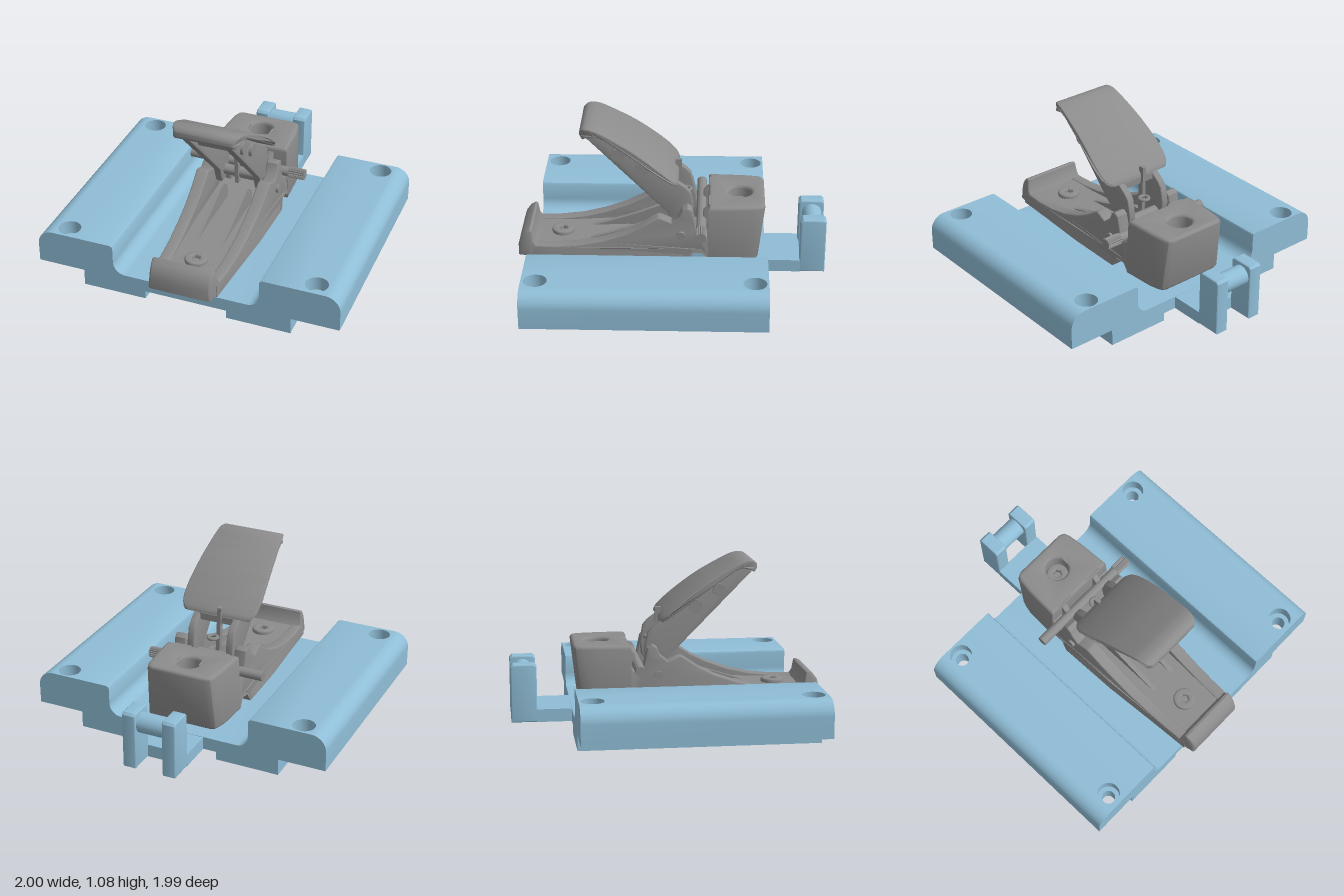
import * as THREE from 'three';
import { toCreasedNormals } from 'three/addons/utils/BufferGeometryUtils.js';

export function createModel() {
  const model = new THREE.Group();
  const blue = new THREE.MeshStandardMaterial({ color: 0x8fbdd6 });
  blue.name = 'light blue plastic';
  const grey = new THREE.MeshStandardMaterial({ color: 0x8c8c8c });
  grey.name = 'grey metal';

  const add = (name, geo, mat) => {
    const mesh = new THREE.Mesh(geo, mat);
    mesh.name = name;
    model.add(mesh);
    return mesh;
  };
  const poly = (pts) => new THREE.Shape(pts.map(([a, b]) => new THREE.Vector2(a, b)));
  const circle = (x, y, r, n = 32) => new THREE.Path(Array.from({ length: n }, (_, i) => {
    const a = (i / n) * Math.PI * 2;
    return new THREE.Vector2(x + r * Math.cos(a), y + r * Math.sin(a));
  }));
  const extrude = (shape, depth, b = 0) => {
    const geo = new THREE.ExtrudeGeometry(shape, {
      depth: depth - 2 * b, curveSegments: 12, bevelEnabled: b > 0,
      bevelSize: b, bevelThickness: b, bevelOffset: -b, bevelSegments: 3,
    });
    return geo.translate(0, 0, b);
  };
  // shape in (x, y), running along z
  const alongZ = (shape, z0, z1, b) => toCreasedNormals(extrude(shape, z1 - z0, b).translate(0, 0, z0), 0.6);
  // shape in (x, -z), running up y
  const alongY = (shape, y0, y1, b) =>
    toCreasedNormals(extrude(shape, y1 - y0, b).rotateX(-Math.PI / 2).translate(0, y0, 0), 0.6);
  // profile in (z, y), running along x; width(z, y) scales x
  const alongX = (pts, x0, x1, b, width) => {
    const geo = extrude(poly(pts), x1 - x0, b).rotateY(-Math.PI / 2).translate(x1, 0, 0);
    const p = geo.attributes.position;
    if (width) for (let i = 0; i < p.count; i++) p.setX(i, p.getX(i) * width(p.getZ(i), p.getY(i)));
    geo.computeVertexNormals();
    return toCreasedNormals(geo, 0.6);
  };
  // linear interpolation through [position, value] pairs
  const ramp = (table, t) => {
    if (t <= table[0][0]) return table[0][1];
    for (let i = 1; i < table.length; i++) {
      const [a, u] = table[i - 1], [b, v] = table[i];
      if (t <= b) return u + ((v - u) * (t - a)) / (b - a);
    }
    return table[table.length - 1][1];
  };
  const rodX = (r, x0, x1, y, z, n = 28) =>
    toCreasedNormals(new THREE.CylinderGeometry(r, r, x1 - x0, n).rotateZ(Math.PI / 2).translate((x0 + x1) / 2, y, z), 0.5);
  const box = (x0, x1, y0, y1, z0, z1) =>
    new THREE.BoxGeometry(x1 - x0, y1 - y0, z1 - z0).translate((x0 + x1) / 2, (y0 + y1) / 2, (z0 + z1) / 2);

  // Base: trough and feet
  const Z0 = -0.61, Z1 = 0.905;
  const half = [[0.27, 0.055], [0.27, 0], [0.69, 0], [0.69, 0.11], [0.745, 0.11], [0.745, 0.342],
    [0.505, 0.342], [0.491, 0.336], [0.485, 0.322]];
  for (let i = 0; i <= 10; i++) {
    const a = (i / 10) * Math.PI / 2;
    half.push([0.405 + 0.08 * Math.cos(a), 0.22 - 0.08 * Math.sin(a)]);
  }
  const mirrored = half.map(([x, y]) => [-x, y]).reverse();
  add('baseTrough', alongZ(poly([...half, ...mirrored]), Z0, Z1), blue);

  for (const s of [1, -1]) {
    // Rounded outer edge
    const edge = [[0.895, 0.342], [0.895, 0.11], [1, 0.11]];
    for (let i = 0; i <= 10; i++) {
      const a = (i / 10) * Math.PI / 2;
      edge.push([0.9 + 0.1 * Math.cos(a), 0.242 + 0.1 * Math.sin(a)]);
    }
    add('baseOuterEdge', alongZ(poly(edge.map(([x, y]) => [s * x, y])), Z0, Z1), blue);

    // Strip with counterbored mounting holes
    for (const [y0, y1, r] of [[0.11, 0.25, 0.042], [0.25, 0.342, 0.072]]) {
      const strip = poly([[0.745, -Z0], [0.745, -Z1], [0.895, -Z1], [0.895, -Z0]].map(([x, y]) => [s * x, y]));
      for (const z of [-0.525, 0.815]) strip.holes.push(circle(s * 0.82, -z, r));
      add('mountingStrip', alongY(strip, y0, y1), blue);
    }

    // Rear posts and support rails under the latch
    const post = [[-0.83, 0.055], [-0.83, 0.415], [-0.845, 0.43], [-0.98, 0.43], [-0.995, 0.415], [-0.995, 0.055]];
    add('rearPost', alongX(post, s > 0 ? 0.09 : -0.18, s > 0 ? 0.18 : -0.09, 0.008), blue);
    add('supportRail', box(s * 0.14 - 0.035, s * 0.14 + 0.035, 0.13, 0.18, -0.5, 0.8), blue);
  }
  add('rearArm', box(-0.18, 0.18, 0.055, 0.138, -0.835, -0.6), blue);
  add('rearPin', rodX(0.065, -0.1, 0.1, 0.345, -0.915), blue);

  // Latch body, tapering toward the front and the top
  const bodyWidth = (z, y) => (ramp([[-0.6, 0.225], [-0.25, 0.25], [0, 0.258], [0.3, 0.245], [0.65, 0.22], [0.92, 0.205], [0.97, 0.195], [1, 0.18]], z)
    + 0.02 * Math.max(0, (0.345 - y) / 0.17)) / 0.25;
  add('bodyFloor', alongX([[0.93, 0.165], [0.92, 0.24], [0.65, 0.238], [0.3, 0.255], [-0.25, 0.255],
    [-0.25, 0.18], [-0.2, 0.23], [-0.14, 0.23], [-0.1, 0.165], [0.3, 0.165], [0.65, 0.165]], -0.25, 0.25, 0, bodyWidth), grey);
  add('frontLip', alongX([[0.995, 0.165], [0.995, 0.24], [0.98, 0.29], [0.95, 0.33], [0.92, 0.345], [0.905, 0.34],
    [0.895, 0.27], [0.87, 0.235], [0.87, 0.165]], -0.25, 0.25, 0.012, bodyWidth), grey);
  const cheek = [[0.9, 0.165], [0.9, 0.245], [0.75, 0.245], [0.6, 0.26], [0.45, 0.295], [0.31, 0.345], [0.2, 0.4],
    [0.09, 0.475], [0.07, 0.475], [0, 0.445], [-0.05, 0.485], [-0.07, 0.535], [-0.1, 0.55], [-0.13, 0.53], [-0.145, 0.46],
    [-0.16, 0.39], [-0.19, 0.373], [-0.22, 0.39], [-0.25, 0.43], [-0.25, 0.18], [-0.2, 0.25], [-0.14, 0.25], [-0.1, 0.165]];
  const rib = [[0.58, 0.23], [0.42, 0.275], [0.25, 0.33], [0.1, 0.39], [0.06, 0.39], [0, 0.34], [0, 0.23]];
  for (const s of [1, -1]) {
    add('bodyCheek', alongX(cheek, s > 0 ? 0.17 : -0.25, s > 0 ? 0.25 : -0.17, 0.008, bodyWidth), grey);
    add('innerRib', alongX(rib, s * 0.085 - 0.015, s * 0.085 + 0.015, 0), grey);
    add('sidePivot', rodX(0.027, s * 0.25 - 0.02, s * 0.25 + 0.02, 0.355, -0.06), grey);
    // Lug inside each slot of the rear block
    add('slotLug', alongX([[-0.2, 0.2], [-0.2, 0.48], [-0.24, 0.52], [-0.4, 0.53], [-0.44, 0.5], [-0.45, 0.2]],
      s * 0.143 - 0.02, s * 0.143 + 0.02, 0.006), grey);
  }

  // Rear block with two slots and a bolt hole
  const block = poly([[-0.25, 0.235], [0.25, 0.235], [0.24, 0.45], [0.228, 0.55], [0.215, 0.585], [0.18, 0.6],
    [-0.18, 0.6], [-0.215, 0.585], [-0.228, 0.55], [-0.24, 0.45]]);
  block.holes.push(circle(0, 0.44, 0.075));
  for (const s of [1, -1]) {
    const slot = [[0.095, 0.26], [0.17, 0.26], [0.17, 0.44], [0.155, 0.46], [0.11, 0.46], [0.095, 0.44]];
    block.holes.push(new THREE.Path(slot.map(([x, y]) => new THREE.Vector2(s * x, y))));
  }
  const blockGeo = extrude(block, 0.385, 0.022).rotateX(-Math.PI / 2).translate(0, 0.165, 0);
  const bp = blockGeo.attributes.position;
  for (let i = 0; i < bp.count; i++) {
    const drop = (0.55 - bp.getY(i)) / 0.385;
    bp.setX(i, bp.getX(i) * (1 + 0.08 * drop));
    if (bp.getZ(i) < -0.53) bp.setZ(i, bp.getZ(i) + 0.045 * drop);
  }
  blockGeo.computeVertexNormals();
  add('rearBlock', toCreasedNormals(blockGeo, 0.6), grey);

  // Socket-head bolts
  for (const [z, y] of [[-0.44, 0.46], [0.72, 0.265]]) {
    const head = new THREE.Shape(circle(0, -z, 0.072).getPoints());
    head.holes.push(circle(0, -z, 0.028, 6));
    add('boltHead', alongY(head, y - 0.05, y, 0.01), grey);
    add('boltShaft', new THREE.CylinderGeometry(0.062, 0.062, y - 0.17, 24).translate(0, (y + 0.09) / 2, z), grey);
  }
  for (const z of [-0.44, 0.19, 0.72]) {
    const nut = new THREE.Shape(circle(0, -z, 0.042).getPoints());
    nut.holes.push(circle(0, -z, 0.02, 6));
    add('undersideNut', alongY(nut, 0.049, 0.07), grey);
  }

  // Cross pin with a ridged end
  add('crossPin', rodX(0.032, -0.4, 0.3, 0.415, -0.19), grey);
  const knob = new THREE.Shape(Array.from({ length: 32 }, (_, i) => {
    const a = (i / 32) * Math.PI * 2, r = i % 2 ? 0.031 : 0.037;
    return new THREE.Vector2(r * Math.cos(a), r * Math.sin(a));
  }));
  add('ridgedPinEnd', toCreasedNormals(extrude(knob, 0.11).rotateY(Math.PI / 2).translate(0.29, 0.415, -0.19), 0.4), grey);

  // Lever arms, joining block and pins
  const arm = [[0.55, 1.0], [0.3, 0.745], [0.02, 0.46], [0, 0.4], [-0.02, 0.35], [-0.08, 0.35], [-0.13, 0.42], [-0.14, 0.5],
    [-0.12, 0.61], [-0.09, 0.645], [-0.03, 0.69], [0.2, 0.85], [0.42, 1.01], [0.5, 1.03]];
  for (const s of [1, -1]) {
    add('leverArm', alongX(arm, s * 0.137 - 0.024, s * 0.137 + 0.024, 0.006), grey);
    for (const [z, y] of [[0.34, 0.88], [0.19, 0.78]])
      add('leverPinHead', rodX(0.043, s * 0.155 - 0.025, s * 0.155 + 0.025, y, z), grey);
  }
  add('leverCore', alongX([[0.4, 0.97], [0.33, 0.86], [0.2, 0.76], [0.06, 0.65], [-0.04, 0.645], [-0.04, 0.69], [0.2, 0.86]], -0.12, 0.12, 0), grey);
  add('leverRoller', rodX(0.055, -0.12, 0.12, 0.9, 0.34), grey);
  add('lowerPivot', rodX(0.035, -0.2, 0.2, 0.42, -0.07), grey);
  const strip = add('releaseStrip', new THREE.BoxGeometry(0.025, 0.4, 0.04).translate(0, 0.56, -0.04), grey);
  strip.rotation.z = 0.04;
  add('releaseHook', new THREE.TorusGeometry(0.03, 0.012, 8, 20).rotateX(Math.PI / 2).translate(0, 0.56, -0.09), grey);

  // Curved handle cover
  const coverWidth = (z) => ramp([[-0.045, 0.2], [-0.035, 0.228], [-0.015, 0.25], [0.02, 0.264], [0.1, 0.265], [0.5, 0.225], [0.55, 0.212], [0.58, 0.185]], z) / 0.25;
  const crown = new THREE.SplineCurve([[-0.03, 0.72], [0.085, 0.82], [0.246, 0.94], [0.43, 1.045], [0.5, 1.072], [0.545, 1.074], [0.575, 1.055], [0.58, 1.025]]
    .map(([z, y]) => new THREE.Vector2(z, y))).getPoints(36).map((p) => [p.x, p.y]);
  add('handleCover', alongX([[-0.043, 0.695], [-0.04, 0.708], ...crown, [0.56, 1.0], [0.53, 1.015], [0.48, 1.028], [0.43, 1.01],
    [0.3, 0.925], [0.1, 0.785], [0.02, 0.73], [-0.015, 0.706], [-0.033, 0.692]], -0.25, 0.25, 0.008, coverWidth), grey);

  return model;
}
